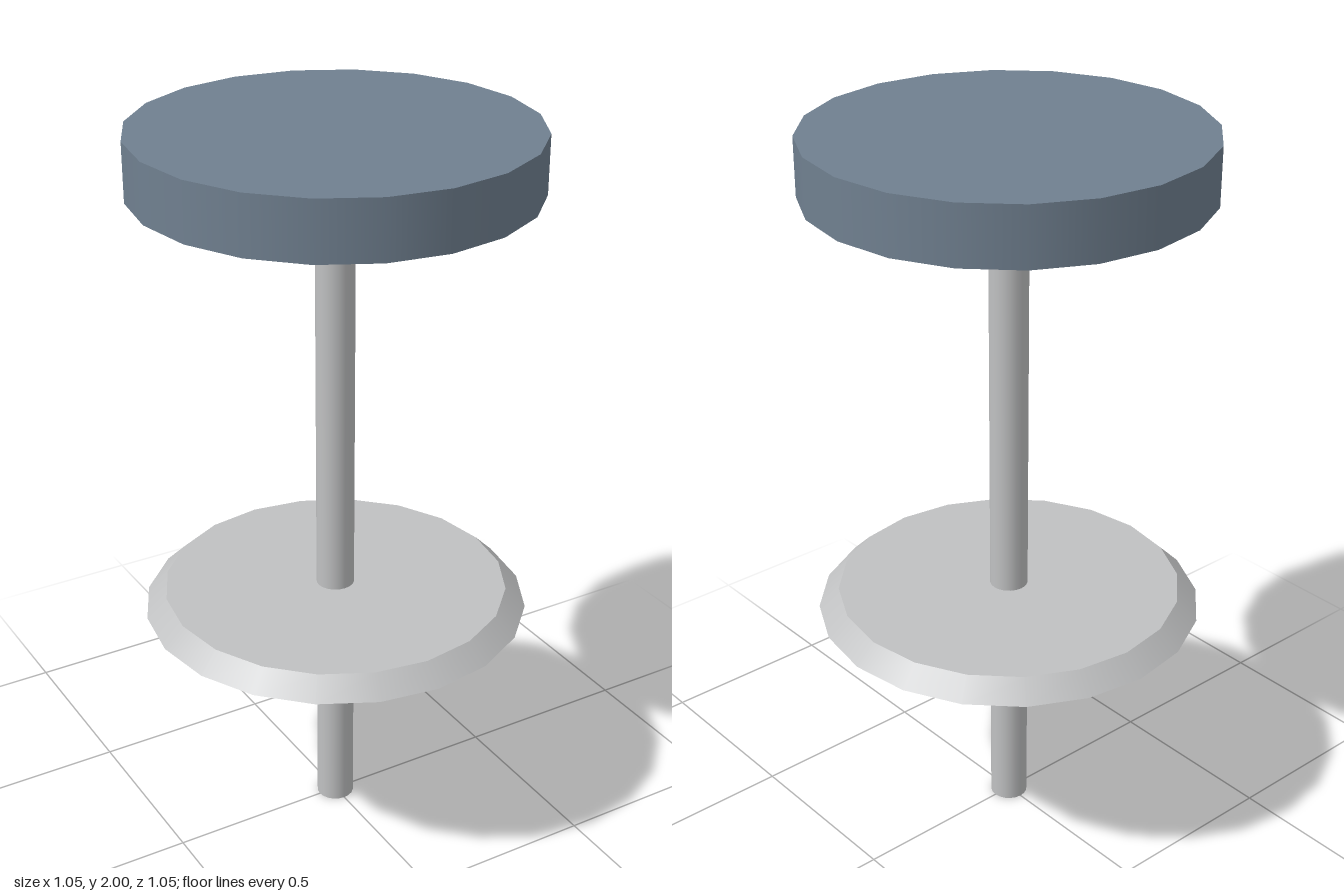
import * as THREE from 'three';

const SIDES = 20;

export function createModel() {
  const model = new THREE.Group();
  model.name = 'stool';

  const seatBlue = new THREE.MeshStandardMaterial({ color: 0x708090 });
  seatBlue.name = 'slate blue seat';
  const metal = new THREE.MeshStandardMaterial({ color: 0xc0c1c2 });
  metal.name = 'silver metal';

  // Upright round part between two heights
  function addRound(name, topRadius, bottomRadius, y0, y1, material) {
    const geometry = new THREE.CylinderGeometry(topRadius, bottomRadius, y1 - y0, SIDES);
    const mesh = new THREE.Mesh(geometry, material);
    mesh.name = name;
    mesh.position.y = (y0 + y1) / 2;
    model.add(mesh);
  }

  addRound('seat', 0.525, 0.525, 1.845, 2, seatBlue);
  addRound('post', 0.052, 0.052, 0, 1.845, metal);
  // Bevelled disc around the post
  addRound('footRest', 0.47, 0.525, 0.66, 0.714, metal);

  return model;
}
